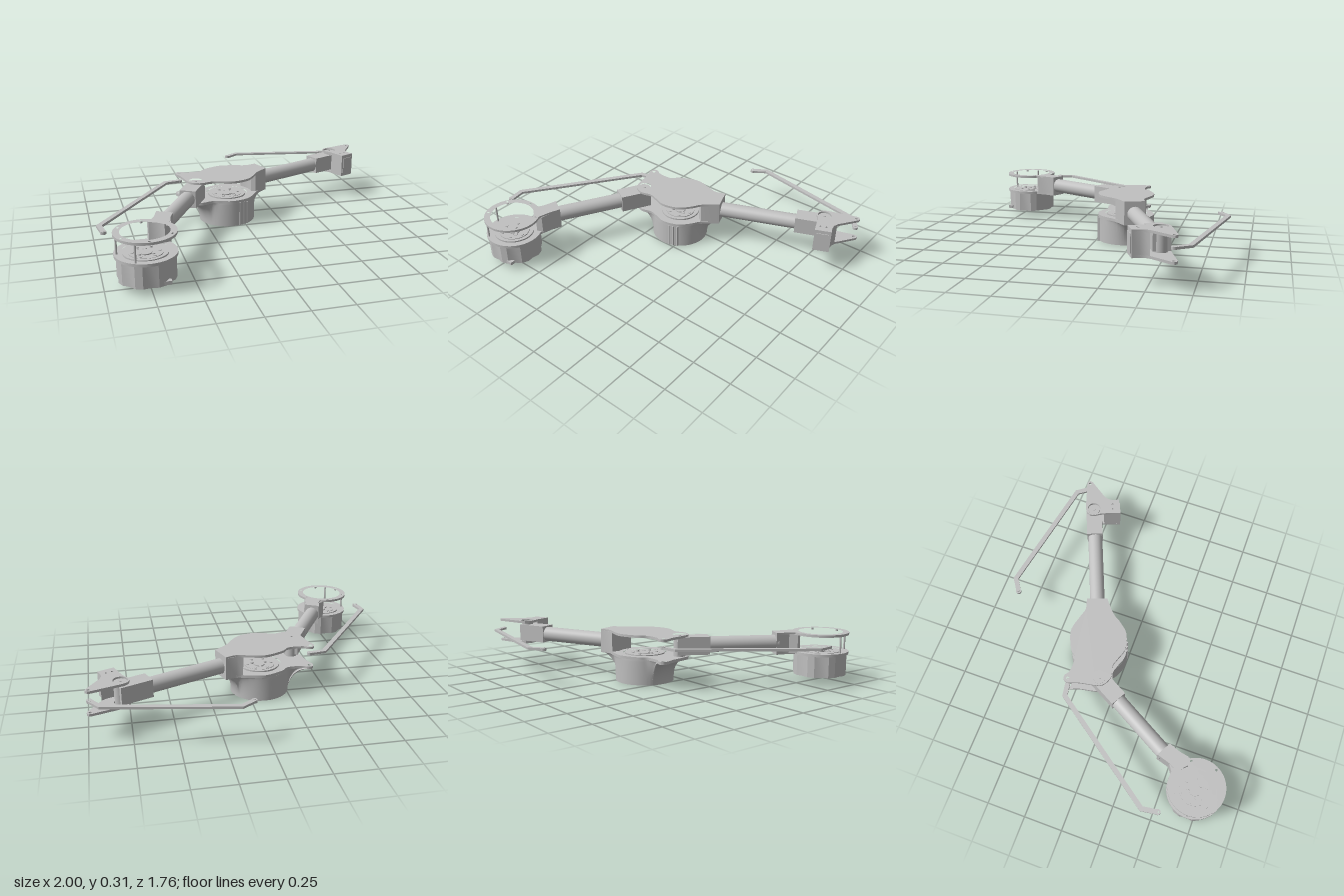
import * as THREE from 'three';
import { toCreasedNormals } from 'three/addons/utils/BufferGeometryUtils.js';

export function createModel() {
  const grey = new THREE.MeshStandardMaterial({ color: 0xc0c0c0 });
  grey.name = 'light grey';
  const root = new THREE.Group();
  root.name = 'roboticLeg';

  const add = (geometry, name, parent = root) => {
    const mesh = new THREE.Mesh(geometry, grey);
    mesh.name = name;
    parent.add(mesh);
    return mesh;
  };
  const group = (name) => {
    const g = new THREE.Group();
    g.name = name;
    root.add(g);
    return g;
  };
  // Points [x, z] on an arc, angles in degrees from +x towards +z
  const arc = (cx, cz, r, from, to, n) => Array.from({ length: n + 1 }, (_, i) => {
    const a = THREE.MathUtils.degToRad(from + ((to - from) * i) / n);
    return [cx + r * Math.cos(a), cz + r * Math.sin(a)];
  });
  // Horizontal slab from a plan outline of [x, z]; holes are [x, z, radius]
  const slab = (pts, y0, y1, name, parent, holes = []) => {
    const shape = new THREE.Shape(pts.map(([x, z]) => new THREE.Vector2(x, -z)));
    for (const [x, z, r] of holes) {
      shape.holes.push(new THREE.Path().absarc(x, -z, r, 0, Math.PI * 2, true));
    }
    const g = new THREE.ExtrudeGeometry(shape, { depth: y1 - y0, bevelEnabled: false, curveSegments: 20 });
    g.rotateX(-Math.PI / 2).translate(0, y0, 0);
    return add(toCreasedNormals(g, 0.5), name, parent);
  };
  const disc = (x, z, r, y0, y1, name, parent) => {
    const g = new THREE.CylinderGeometry(r, r, y1 - y0, r > 0.03 ? 48 : 16);
    return add(g.translate(x, (y0 + y1) / 2, z), name, parent);
  };
  const ring = (x, z, ro, ri, y0, y1, name, parent) =>
    slab(arc(x, z, ro, 0, 354, 59), y0, y1, name, parent, [[x, z, ri]]);
  // Beam between two plan points: a box, or a round tube when round is set
  const beam = (a, b, y, width, height, name, parent, round = false) => {
    const dx = b[0] - a[0], dz = b[1] - a[1], len = Math.hypot(dx, dz);
    const g = round
      ? new THREE.CylinderGeometry(width / 2, width / 2, len, 40).rotateZ(Math.PI / 2)
      : new THREE.BoxGeometry(len, height, width);
    const m = add(g, name, parent);
    m.position.set((a[0] + b[0]) / 2, y, (a[1] + b[1]) / 2);
    m.rotation.y = Math.atan2(-dz, dx);
    return m;
  };
  // Round output face of a motor, its top at height y
  const motorFace = (x, z, y, parent) => {
    disc(x, z, 0.138, y - 0.04, y - 0.01, 'motorFaceBase', parent);
    ring(x, z, 0.126, 0.105, y - 0.012, y, 'bearingRing', parent);
    ring(x, z, 0.095, 0.06, y - 0.012, y - 0.003, 'rotorRing', parent);
    disc(x, z, 0.035, y - 0.012, y - 0.003, 'rotorHub', parent);
    for (const [px, pz] of arc(x, z, 0.076, 0, 300, 5)) disc(px, pz, 0.01, y - 0.01, y + 0.001, 'rotorBolt', parent);
    for (const [px, pz] of arc(x, z, 0.048, 30, 270, 2)) disc(px, pz, 0.012, y - 0.012, y - 0.002, 'rotorPin', parent);
  };

  // Shoulder: motor between a lower flange and an open upper ring
  const shoulder = group('shoulder');
  const [sx, sz] = [-0.76, 0.7];
  const flange = [...arc(sx, sz, 0.176, -31, 290, 72),
    [-0.68, 0.5], [-0.655, 0.415], [-0.565, 0.465], [-0.59, 0.53]];
  const bolts = arc(sx, sz, 0.158, 30, 330, 5).map(([x, z]) => [x, z, 0.008]);
  slab(flange, 0.295, 0.31, 'upperRing', shoulder, [[sx, sz, 0.138], ...bolts]);
  slab(flange, 0.173, 0.19, 'lowerFlange', shoulder, [[sx, sz, 0.138]]);
  slab([[-0.565, 0.465], [-0.655, 0.415], [-0.68, 0.5], [-0.725, 0.53],
    ...arc(sx, sz, 0.15, -75, -36, 8), [-0.6, 0.595], [-0.59, 0.53]], 0.18, 0.3, 'neck', shoulder);
  for (const [x, z] of [[-0.835, 0.845], [-0.92, 0.7]]) disc(x, z, 0.006, 0.18, 0.3, 'ringPost', shoulder);
  const lobes = arc(sx, sz, 1, 0, 345, 23).map(([x, z], i) => {
    const r = i % 3 === 0 ? 0.155 : 0.167;
    return [sx + (x - sx) * r, sz + (z - sz) * r];
  });
  slab(lobes, 0.04, 0.175, 'motorCase', shoulder);
  add(new THREE.BoxGeometry(0.07, 0.02, 0.03).translate(-0.68, 0.056, 0.835), 'motorConnector', shoulder);
  motorFace(sx, sz, 0.19, shoulder);

  // Upper arm tube and the block at its elbow end
  const upperArm = group('upperArm');
  beam([-0.62, 0.455], [-0.39, 0.045], 0.243, 0.098, 0, 'upperArmTube', upperArm, true);
  beam([-0.403, 0.073], [-0.305, -0.105], 0.242, 0.106, 0.112, 'elbowBlock', upperArm);
  disc(-0.317, -0.088, 0.038, 0.17, 0.302, 'elbowPivot', upperArm);
  disc(-0.317, -0.088, 0.008, 0.3, 0.306, 'elbowPivotScrew', upperArm);

  // Elbow: flared motor housing, lower deck, side column and cover plate
  const elbow = group('elbow');
  const [ex, ez] = [-0.085, -0.185];
  const curve = new THREE.SplineCurve([
    [0.205, -0.23], [0.15, -0.185], [0.11, -0.145], [0.075, -0.09], [0.015, -0.028], [-0.085, 0],
    [-0.165, -0.022], [-0.22, -0.036], [-0.29, -0.02], [-0.35, -0.045], [-0.373, -0.09], [-0.395, -0.2],
    [-0.417, -0.262], [-0.405, -0.295], [-0.375, -0.298], [-0.34, -0.278], [-0.25, -0.28], [-0.2, -0.325],
    [-0.085, -0.371], [0.02, -0.352], [0.09, -0.335], [0.16, -0.356],
  ].map(([x, z]) => new THREE.Vector2(x, z)));
  const outline = curve.getPoints(110).map((p) => [p.x, p.y]);
  const pivot = [-0.317, -0.088, 0.043], rodHole = [-0.392, -0.272, 0.011];
  slab(outline, 0.295, 0.31, 'coverPlate', elbow, [pivot, rodHole]);
  slab(outline, 0.157, 0.175, 'lowerDeck', elbow, [rodHole, [ex, ez, 0.138]]);
  slab([[0.205, -0.23], [0.15, -0.185], [0.11, -0.155], ...arc(ex, ez, 0.168, 4, -40, 10),
    [0.05, -0.342], [0.09, -0.335], [0.16, -0.356]], 0.165, 0.3, 'sideColumn', elbow);
  motorFace(ex, ez, 0.178, elbow);

  // Housing skin: a circle at the foot sweeping out to the deck outline
  const loop = [...outline, [0.175, -0.314], [0.19, -0.272]];
  const pos = [], idx = [], rows = 12, n = loop.length;
  for (let j = 0; j <= rows; j++) {
    const t = Math.sin((j / rows) * Math.PI / 2), f = 1 - Math.sqrt(Math.max(0, 1 - t * t));
    for (const [x, z] of loop) {
      const r = Math.hypot(x - ex, z - ez), k = (0.185 + (Math.max(r, 0.184) - 0.185) * f) / r;
      pos.push(ex + (x - ex) * k, 0.16 * t, ez + (z - ez) * k);
    }
  }
  for (let j = 0; j < rows; j++) {
    for (let i = 0; i < n; i++) {
      const a = j * n + i, b = j * n + ((i + 1) % n);
      idx.push(a, a + n, b, b, a + n, b + n);
    }
  }
  const skin = new THREE.BufferGeometry();
  skin.setAttribute('position', new THREE.Float32BufferAttribute(pos, 3));
  skin.setIndex(idx);
  add(toCreasedNormals(skin, 0.6), 'housing', elbow);
  add(new THREE.CircleGeometry(0.185, 64).rotateX(Math.PI / 2).translate(ex, 0, ez), 'housingFloor', elbow);
  // Cable slot ribs on the front of the housing
  for (const x of [-0.038, -0.012, 0.014]) {
    add(new THREE.BoxGeometry(0.01, 0.155, 0.03).translate(x, 0.08, -0.014 - Math.abs(x + 0.04) * 0.35), 'slotRib', elbow);
  }

  // Forearm tube and the block at its wrist end
  const forearm = group('forearm');
  beam([0.15, -0.28], [0.65, -0.488], 0.228, 0.096, 0, 'forearmTube', forearm, true);
  beam([0.635, -0.483], [0.82, -0.56], 0.23, 0.104, 0.11, 'wristBlock', forearm);
  disc(0.8, -0.55, 0.038, 0.16, 0.302, 'wristPivot', forearm);
  disc(0.8, -0.55, 0.008, 0.3, 0.306, 'wristPivotScrew', forearm);

  // Wrist bracket: two cheek plates joined by a solid end
  const wrist = group('wristBracket');
  const cheek = [[0.995, -0.635], [0.997, -0.652], [0.985, -0.665], [0.968, -0.664], [0.79, -0.606],
    [0.76, -0.588], [0.748, -0.56], [0.755, -0.53], [0.785, -0.487], [0.83, -0.373],
    [0.926, -0.414], [0.908, -0.455], [0.905, -0.485], [0.914, -0.515]];
  const cheekHoles = [[0.8, -0.55, 0.043], [0.977, -0.645, 0.009], [0.84, -0.427, 0.007], [0.876, -0.442, 0.007]];
  slab(cheek, 0.295, 0.31, 'upperCheek', wrist, cheekHoles);
  slab(cheek, 0.155, 0.17, 'lowerCheek', wrist, cheekHoles);
  slab([[0.83, -0.373], [0.926, -0.414], [0.908, -0.455], [0.905, -0.485], [0.912, -0.51],
    [0.88, -0.49], [0.84, -0.475], [0.79, -0.476]], 0.165, 0.3, 'bracketEnd', wrist);
  beam([0.843, -0.378], [0.915, -0.409], 0.232, 0.008, 0.11, 'endPanel', wrist);

  // Flat linkage rods with bent ends, built by mitred offsets of a path
  const rod = (path, y0, y1, name) => {
    const g = group(name), w = 0.015;
    const dir = (a, b) => new THREE.Vector2(b[0] - a[0], b[1] - a[1]).normalize();
    const side = (s) => path.map((p, i) => {
      const d0 = dir(path[Math.max(i - 1, 0)], path[Math.max(i, 1)]);
      const d1 = i < path.length - 1 ? dir(p, path[i + 1]) : d0;
      const m = new THREE.Vector2(-d0.y - d1.y, d0.x + d1.x).normalize();
      const k = (s * w) / (m.x * -d0.y + m.y * d0.x);
      return [p[0] + m.x * k, p[1] + m.y * k];
    });
    slab([...side(1), ...side(-1).reverse()], y0, y1, 'rodBar', g);
    for (const p of [path[0], path[path.length - 1]]) ring(p[0], p[1], 0.017, 0.007, y0 - 0.001, y1 + 0.001, 'rodEye', g);
  };
  rod([[-0.97, 0.53], [-0.985, 0.43], [-0.49, -0.257], [-0.392, -0.272]], 0.247, 0.262, 'upperLinkRod');
  rod([[0.08, -0.815], [0.16, -0.868], [0.92, -0.725], [0.977, -0.645]], 0.233, 0.247, 'lowerLinkRod');

  return root;
}
